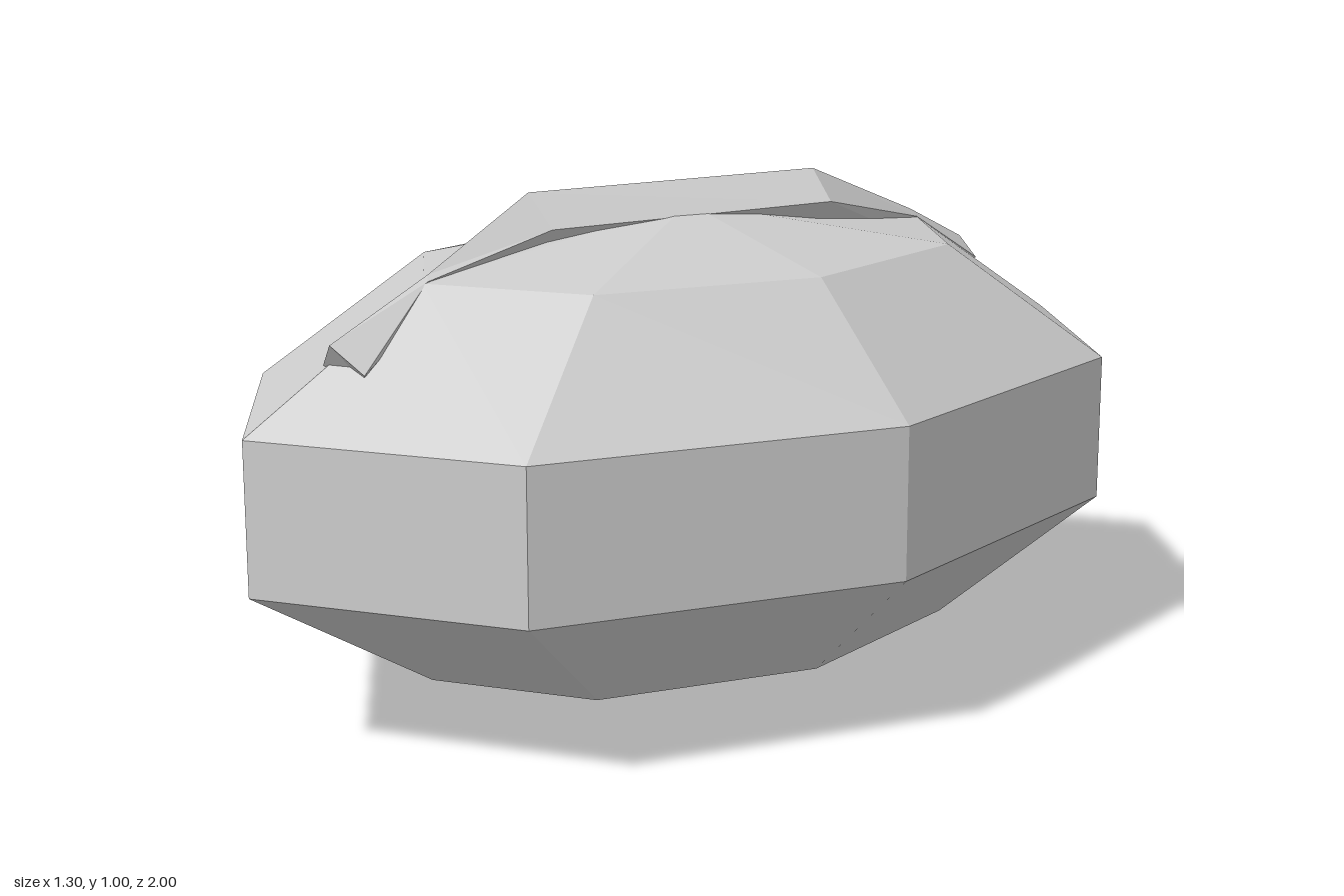
import * as THREE from 'three';

const stone = new THREE.MeshStandardMaterial({ color: 0xcccccc, flatShading: true });
stone.name = 'light grey';

// Faceted oval body: eight sides, five bands between two shallow points
function makeBody() {
  const profile = [];
  for (let i = 0; i <= 5; i++) {
    const a = -Math.PI / 2 + (i * Math.PI) / 5;
    const r = i === 0 || i === 5 ? 0 : Math.cos(a) / Math.cos(Math.PI / 10);
    profile.push(new THREE.Vector2(r, 0.474 * (1 + Math.sin(a))));
  }
  const body = new THREE.Mesh(new THREE.LatheGeometry(profile, 8), stone);
  body.scale.set(0.648, 1, 1);
  body.name = 'body';
  return body;
}

// Winding raised ridge lofted through four-cornered sections
function makeRidge() {
  // Each section: crest, right edge, underside, left edge
  const sections = [
    [[-0.07, 0.79, -0.81], [-0.012, 0.75, -0.805], [-0.06, 0.69, -0.77], [-0.125, 0.74, -0.775]],
    [[-0.015, 0.875, -0.61], [0.0, 0.86, -0.615], [-0.015, 0.82, -0.6], [-0.03, 0.86, -0.6]],
    [[0.06, 1.0, -0.27], [0.123, 0.94, -0.265], [0.06, 0.87, -0.27], [-0.002, 0.93, -0.27]],
    [[-0.075, 0.99, 0.33], [-0.01, 0.925, 0.32], [-0.07, 0.85, 0.32], [-0.135, 0.925, 0.32]],
    [[-0.012, 0.87, 0.6], [0.003, 0.86, 0.61], [-0.01, 0.82, 0.59], [-0.03, 0.86, 0.59]],
    [[0.03, 0.775, 0.835], [0.09, 0.725, 0.8], [0.04, 0.7, 0.77], [-0.012, 0.73, 0.825]],
  ];
  const index = [];
  const last = sections.length - 1;
  for (let i = 0; i < last; i++) {
    for (let j = 0; j < 4; j++) {
      const a = i * 4 + j, b = i * 4 + ((j + 1) % 4);
      index.push(a, a + 4, b, b, a + 4, b + 4);
    }
  }
  // End caps
  const e = last * 4;
  index.push(0, 1, 2, 0, 2, 3, e, e + 2, e + 1, e, e + 3, e + 2);
  const geometry = new THREE.BufferGeometry();
  geometry.setAttribute('position', new THREE.Float32BufferAttribute(sections.flat(2), 3));
  geometry.setIndex(index);
  const flat = geometry.toNonIndexed();
  flat.computeVertexNormals();
  const ridge = new THREE.Mesh(flat, stone);
  ridge.name = 'topRidge';
  return ridge;
}

export function createModel() {
  const model = new THREE.Group();
  model.name = 'facetedLoaf';
  model.add(makeBody(), makeRidge());
  return model;
}
